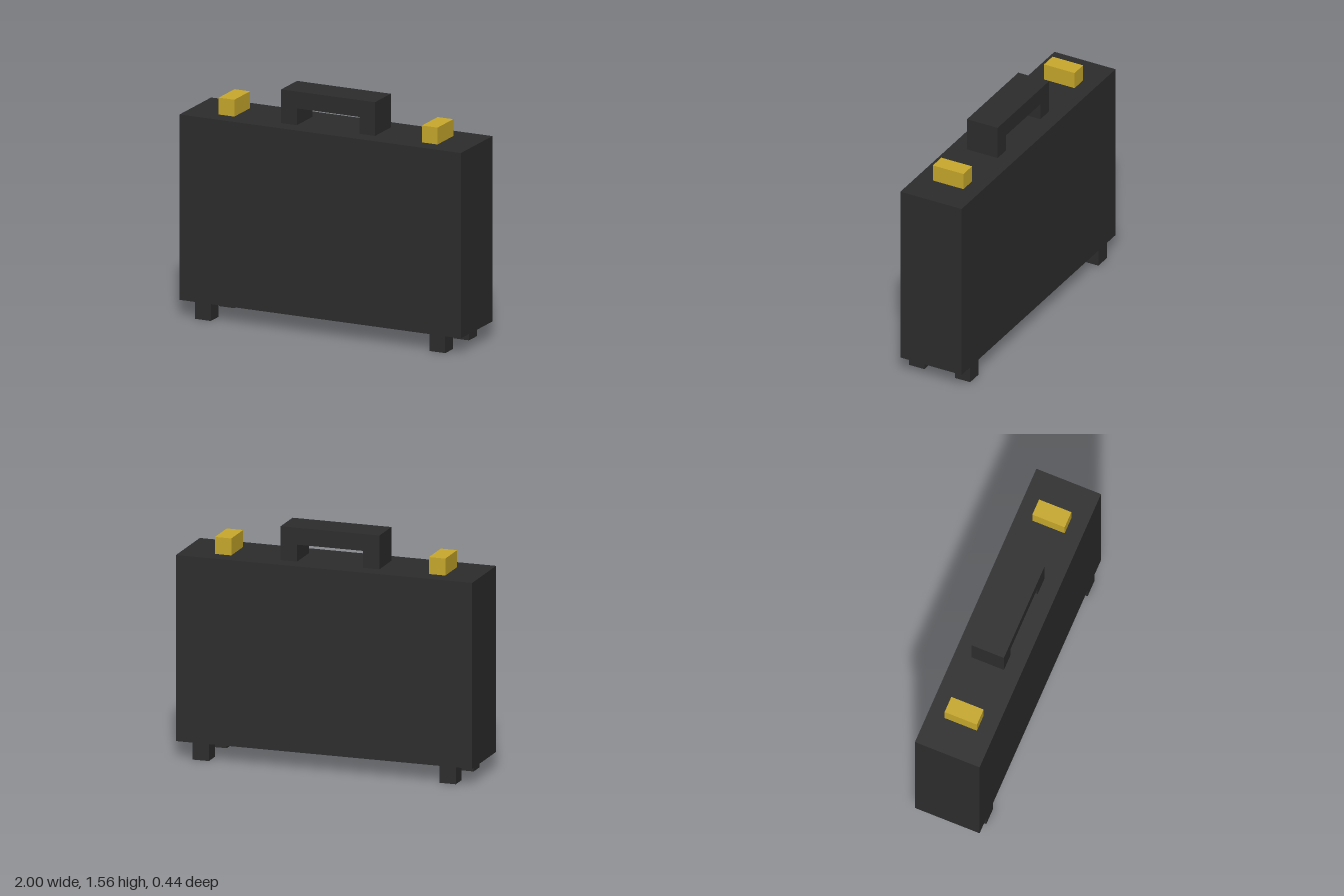
import * as THREE from 'three';

const U = 1 / 9; // design unit: the case is 18 units wide

export function createModel() {
  const model = new THREE.Group();
  model.name = 'briefcase';

  const black = new THREE.MeshStandardMaterial({ color: 0x2d2d2d });
  black.name = 'black leather';
  const gold = new THREE.MeshStandardMaterial({ color: 0xc9a92c });
  gold.name = 'gold metal';

  // Box sized in units, placed by the centre of its base
  function box(name, material, [w, h, d], [x, y, z]) {
    const mesh = new THREE.Mesh(new THREE.BoxGeometry(w * U, h * U, d * U), material);
    mesh.position.set(x * U, (y + h / 2) * U, z * U);
    mesh.name = name;
    model.add(mesh);
  }

  // Case body
  box('body', black, [18, 11, 4], [0, 1, 0]);

  // Feet and latches, mirrored left and right
  for (const [side, s] of [['left', 1], ['right', -1]]) {
    box(`${side}FrontFoot`, black, [1, 1, 1], [s * 7.5, 0, 1.5]);
    box(`${side}BackFoot`, black, [1, 1, 1], [s * 7.5, 0, -1.5]);
    box(`${side}Latch`, gold, [1, 1, 2], [s * 6.5, 12, 0]);
  }

  // Handle: one extruded arch
  const arch = new THREE.Shape(
    [[-3, 0], [-2, 0], [-2, 1], [2, 1], [2, 0], [3, 0], [3, 2], [-3, 2]]
      .map(([x, y]) => new THREE.Vector2(x * U, y * U))
  );
  const handle = new THREE.Mesh(
    new THREE.ExtrudeGeometry(arch, { depth: 2 * U, bevelEnabled: false }), black);
  handle.position.set(0, 12 * U, -U);
  handle.name = 'handle';
  model.add(handle);

  return model;
}
